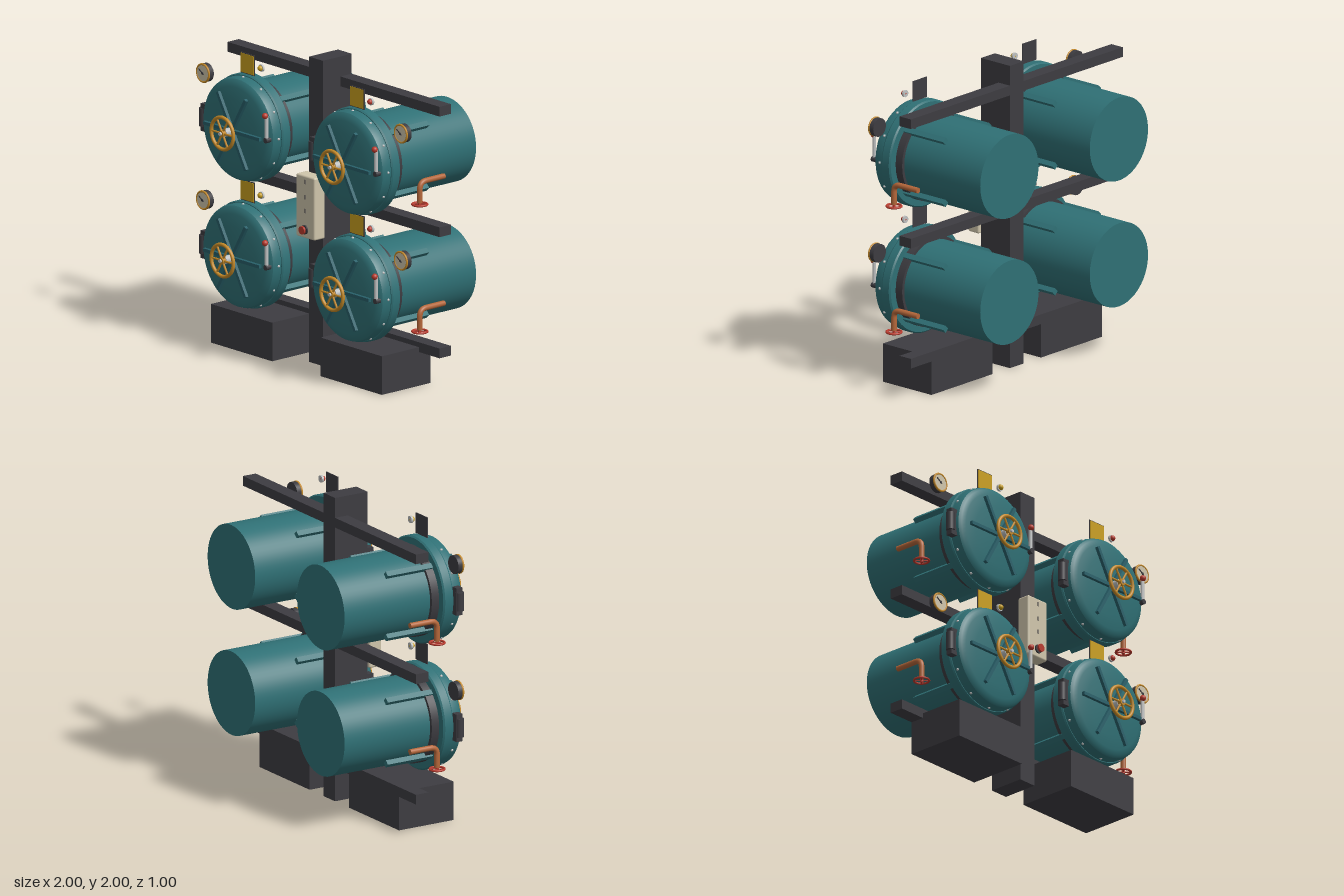
import * as THREE from 'three';
import { toCreasedNormals } from 'three/addons/utils/BufferGeometryUtils.js';
import { RoundedBoxGeometry } from 'three/addons/geometries/RoundedBoxGeometry.js';

const material = (name, color) => {
  const m = new THREE.MeshStandardMaterial({ color });
  m.name = name;
  return m;
};
const M = {
  teal: material('teal paint', 0x2f7075),
  darkTeal: material('dark teal paint', 0x28606a),
  iron: material('dark iron', 0x3d3c41),
  brass: material('brass', 0xc58a28),
  yellow: material('yellow plate', 0xc99f1f),
  cream: material('cream', 0xcfc5ab),
  copper: material('copper', 0xb5673a),
  red: material('red', 0xb93a2d),
  steel: material('steel', 0xbfc1c1),
};

function add(parent, name, geo, mat, x = 0, y = 0, z = 0) {
  const mesh = new THREE.Mesh(geo, mat);
  mesh.name = name;
  mesh.position.set(x, y, z);
  parent.add(mesh);
  return mesh;
}
function group(parent, name, x = 0, y = 0, z = 0) {
  const g = new THREE.Group();
  g.name = name;
  g.position.set(x, y, z);
  parent.add(g);
  return g;
}
const box = (w, h, d) => new THREE.BoxGeometry(w, h, d);
const ball = (r) => new THREE.SphereGeometry(r, 16, 12);
const rod = (r, h, n = 24) => new THREE.CylinderGeometry(r, r, h, n);
// Cylinder along z
const disc = (r, d, n = 32) => rod(r, d, n).rotateX(Math.PI / 2);
// Revolved around z from [radius, z] pairs
const turned = (pts) => toCreasedNormals(
  new THREE.LatheGeometry(pts.map(([r, z]) => new THREE.Vector2(r, z)), 64).rotateX(Math.PI / 2), 0.5);

function spokedWheel(parent, name, radius, tube, spokes, mat) {
  const g = group(parent, name);
  add(g, 'rim', new THREE.TorusGeometry(radius, tube, 12, 40), mat);
  for (let i = 0; i < spokes; i++) {
    const a = (i + 0.5) * Math.PI * 2 / spokes;
    const s = add(g, 'spoke', rod(tube * 0.6, radius, 8), mat, -Math.sin(a) * radius / 2, Math.cos(a) * radius / 2);
    s.rotation.z = a;
  }
  return g;
}

function addDoor(c) {
  const door = group(c, 'door');
  add(door, 'flange', turned([[0, 0.2], [0.338, 0.2], [0.347, 0.21], [0.347, 0.265], [0.34, 0.275], [0, 0.275]]), M.teal);
  add(door, 'domedDoor', turned([[0, 0.27], [0.335, 0.27], [0.335, 0.318], [0.328, 0.338], [0.312, 0.352],
    [0.28, 0.361], [0.2, 0.37], [0.1, 0.377], [0, 0.38]]), M.teal);
  for (let i = 0; i < 12; i++) {
    const a = i * Math.PI / 6;
    add(door, 'rimBolt', ball(0.009), M.steel, Math.cos(a) * 0.334, Math.sin(a) * 0.334, 0.297);
  }
  for (let i = 0; i < 3; i++) {
    add(door, 'lockingBar', box(0.53, 0.022, 0.022), M.darkTeal, 0, 0, 0.39).rotation.z = i * Math.PI / 3;
  }

  // Hand wheel on its spindle
  add(door, 'spindle', disc(0.026, 0.07), M.steel, 0, 0, 0.425);
  spokedWheel(door, 'handWheel', 0.104, 0.012, 6, M.brass).position.z = 0.473;
  add(door, 'wheelHub', disc(0.022, 0.026), M.brass, 0, 0, 0.474);
  add(door, 'hubNut', disc(0.012, 0.04, 6), M.steel, 0, 0, 0.48);

  // Hinge on one side, lever on the other
  add(door, 'hingePin', rod(0.028, 0.12), M.iron, -0.366, 0, 0.305);
  add(door, 'hingeBlock', box(0.07, 0.18, 0.045), M.iron, -0.34, 0, 0.3);
  add(door, 'leverPivot', disc(0.017, 0.04), M.iron, 0.305, 0, 0.365);
  add(door, 'leverRod', rod(0.012, 0.16), M.steel, 0.303, 0.08, 0.372);
  add(door, 'leverKnob', ball(0.02), M.red, 0.299, 0.16, 0.38);
}

function addGauge(c, x) {
  const g = group(c, 'gauge', x, 0.267, 0.245);
  add(g, 'gaugeBody', disc(0.06, 0.04), M.iron);
  add(g, 'gaugeRim', new THREE.TorusGeometry(0.057, 0.007, 10, 40), M.brass, 0, 0, 0.018);
  add(g, 'gaugeFace', disc(0.055, 0.004), M.cream, 0, 0, 0.02);
  add(g, 'needle', box(0.055, 0.007, 0.004), M.iron, -0.012, 0.008, 0.024).rotation.z = -0.6;
  add(g, 'needlePin', disc(0.008, 0.006, 12), M.iron, 0, 0, 0.024);
}

function addValve(c, x) {
  const g = group(c, 'drainValve', x, 0, 0);
  const path = new THREE.CurvePath();
  const v = (y, z) => new THREE.Vector3(0, y, z);
  path.add(new THREE.LineCurve3(v(-0.08, -0.1), v(-0.08, 0.05)));
  path.add(new THREE.QuadraticBezierCurve3(v(-0.08, 0.05), v(-0.08, 0.103), v(-0.13, 0.103)));
  path.add(new THREE.LineCurve3(v(-0.13, 0.103), v(-0.215, 0.103)));
  add(g, 'pipe', new THREE.TubeGeometry(path, 40, 0.018, 14), M.copper);
  add(g, 'pipeEnd', disc(0.018, 0.004, 14), M.copper, 0, -0.08, -0.1);
  add(g, 'valveStem', rod(0.011, 0.03, 12), M.red, 0, -0.222, 0.103);
  const wheel = spokedWheel(g, 'valveWheel', 0.048, 0.007, 4, M.red);
  wheel.position.set(0, -0.226, 0.103);
  wheel.rotation.x = Math.PI / 2;
}

function addChamber(root, side, y) {
  const cx = side * 0.517;
  const c = group(root, side > 0 ? 'leftChamber' : 'rightChamber', cx, y, 0);
  add(c, 'barrel', disc(0.275, 0.71, 64), M.teal, 0, 0, -0.145);
  add(c, 'collar', disc(0.295, 0.055, 64), M.iron, 0, 0, 0.17);
  for (let i = 0; i < 4; i++) {
    const a = Math.PI / 4 + i * Math.PI / 2;
    add(c, 'barrelRib', box(0.04, 0.035, 0.34), M.teal, Math.cos(a) * 0.287, Math.sin(a) * 0.287, 0.025).rotation.z = a;
  }
  addDoor(c);

  // Marker plate and signal lamp above the door
  add(c, 'markerPlate', box(0.134, 0.134, 0.006), M.iron, 0, 0.415, 0.258);
  add(c, 'markerFace', box(0.124, 0.124, 0.003), M.yellow, 0, 0.415, 0.2625);
  add(c, 'lampBase', disc(0.023, 0.014, 20), M.steel, 0.134, 0.417, 0.262);
  add(c, 'lampBulb', ball(0.018), side > 0 ? M.red : M.yellow, 0.134, 0.417, 0.272);

  const outer = side * 0.933 - cx;
  addGauge(c, outer);
  addValve(c, outer);
}

export function createModel() {
  const root = new THREE.Group();
  root.name = 'chamberRack';

  // Frame
  const frame = group(root, 'frame');
  add(frame, 'centrePost', box(0.13, 2, 0.245), M.iron, 0, 1, 0.0225);
  for (const y of [0.253, 1.047, 1.837]) add(frame, 'crossBeam', box(2, 0.064, 0.096), M.iron, 0, y, -0.052);
  for (const s of [-1, 1]) add(frame, 'plinth', box(0.578, 0.253, 0.41), M.iron, s * 0.517, 0.1265, 0.105);

  // Four pressure chambers
  for (const s of [-1, 1]) for (const y of [0.63, 1.463]) addChamber(root, s, y);

  // Control panel on the post
  const panel = group(root, 'controlPanel', 0, 1.045, 0.19);
  add(panel, 'panelBox', new RoundedBoxGeometry(0.176, 0.41, 0.092, 3, 0.012), M.cream);
  for (const y of [0.165, 0.065, -0.025]) {
    add(panel, 'switchSlot', box(0.008, 0.028, 0.004), M.iron, 0, y, 0.047);
  }
  add(panel, 'buttonCollar', disc(0.029, 0.012), M.iron, 0, -0.147, 0.05);
  add(panel, 'buttonStem', disc(0.014, 0.025), M.red, 0, -0.147, 0.058);
  add(panel, 'stopButton', disc(0.026, 0.014), M.red, 0, -0.147, 0.072);
  return root;
}
